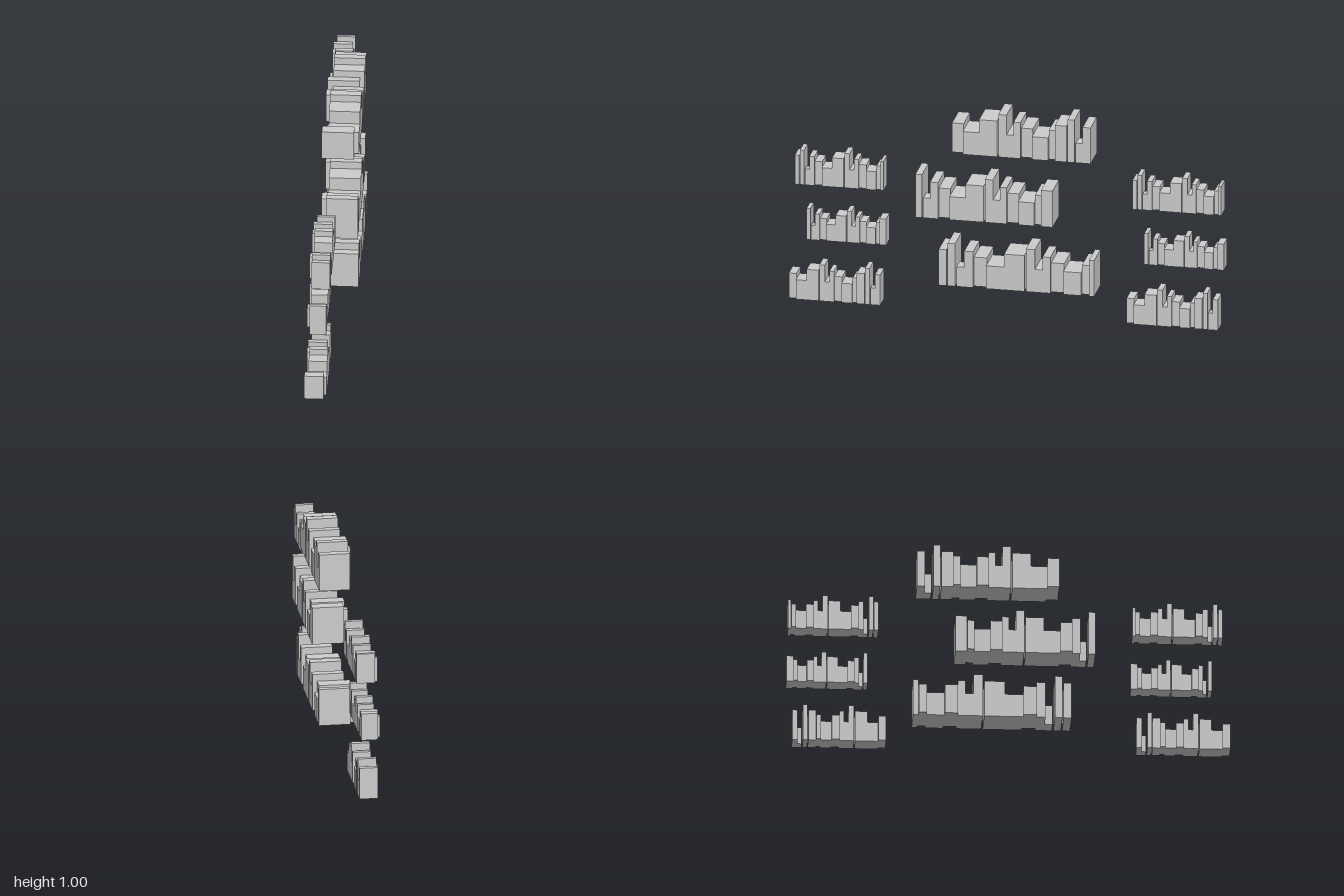
import * as THREE from 'three';

// One run of books: [thickness, height, gap before, back x, front x]
const BACK = -0.07, FRONT = 0.07;
const plain = (t, h, gap = 0) => [t, h, gap, BACK, FRONT];
const pulled = (t) => [t, 0.14, 0, -0.095, 0.05];
const BOOKS = [
  pulled(0.054), plain(0.075, 0.11), plain(0.044, 0.173), plain(0.040, 0.173),
  plain(0.038, 0.205, 0.006), plain(0.032, 0.11), plain(0.032, 0.173),
  pulled(0.054), plain(0.037, 0.11), plain(0.037, 0.11), pulled(0.032),
  plain(0.022, 0.173), plain(0.032, 0.173), plain(0.031, 0.205, 0.005),
  [0.032, 0.095, 0.006, 0.005, FRONT], plain(0.037, 0.173),
];
const RUN = BOOKS.reduce((sum, b) => sum + b[0] + b[2], 0);

// Rows: name, first book, z start, z end, base y, height scale, x centre, depth scale
const ROWS = [
  ['lowerLongRow', 12, 0.288, -0.425, 0.16, 1.0, 0.028, 1.02],
  ['middleLongRow', 13, 0.4, -0.235, 0.48, 1.01, 0.03, 1.03],
  ['upperLongRow', 0, 0.232, -0.408, 0.797, 1.0, 0.025, 1.0],
  ['lowerShortRow', 0, 1.0, 0.578, 0, 0.85, -0.0475, 0.6],
  ['middleShortRow', 13, 0.92, 0.552, 0.29, 0.73, -0.0475, 0.54],
  ['upperShortRow', 12, 0.967, 0.56, 0.56, 0.81, -0.031, 0.59],
];

const material = new THREE.MeshStandardMaterial({ color: 0xcccccc, flatShading: true });

function makeRow([name, first, z0, z1, baseY, sy, xc, sx], shift = 0) {
  const row = new THREE.Group();
  row.name = name;
  const sz = (z0 - z1) / RUN;
  let z = z0 + shift;
  for (let i = 0; i < BOOKS.length; i++) {
    const [t, h, gap, xa, xb] = BOOKS[(first + i) % BOOKS.length];
    z -= gap * sz;
    const book = new THREE.Mesh(new THREE.BoxGeometry((xb - xa) * sx, h * sy, t * sz), material);
    book.name = 'book';
    book.position.set(xc + ((xa + xb) / 2) * sx, baseY + (h * sy) / 2, z - (t * sz) / 2);
    row.add(book);
    z -= t * sz;
  }
  return row;
}

export function createModel() {
  const model = new THREE.Group();
  model.name = 'bookRows';
  for (const row of ROWS) {
    model.add(makeRow(row));
    // Short rows repeat at the far end
    if (row[0].includes('Short')) model.add(makeRow(row, -1.55));
  }
  return model;
}
